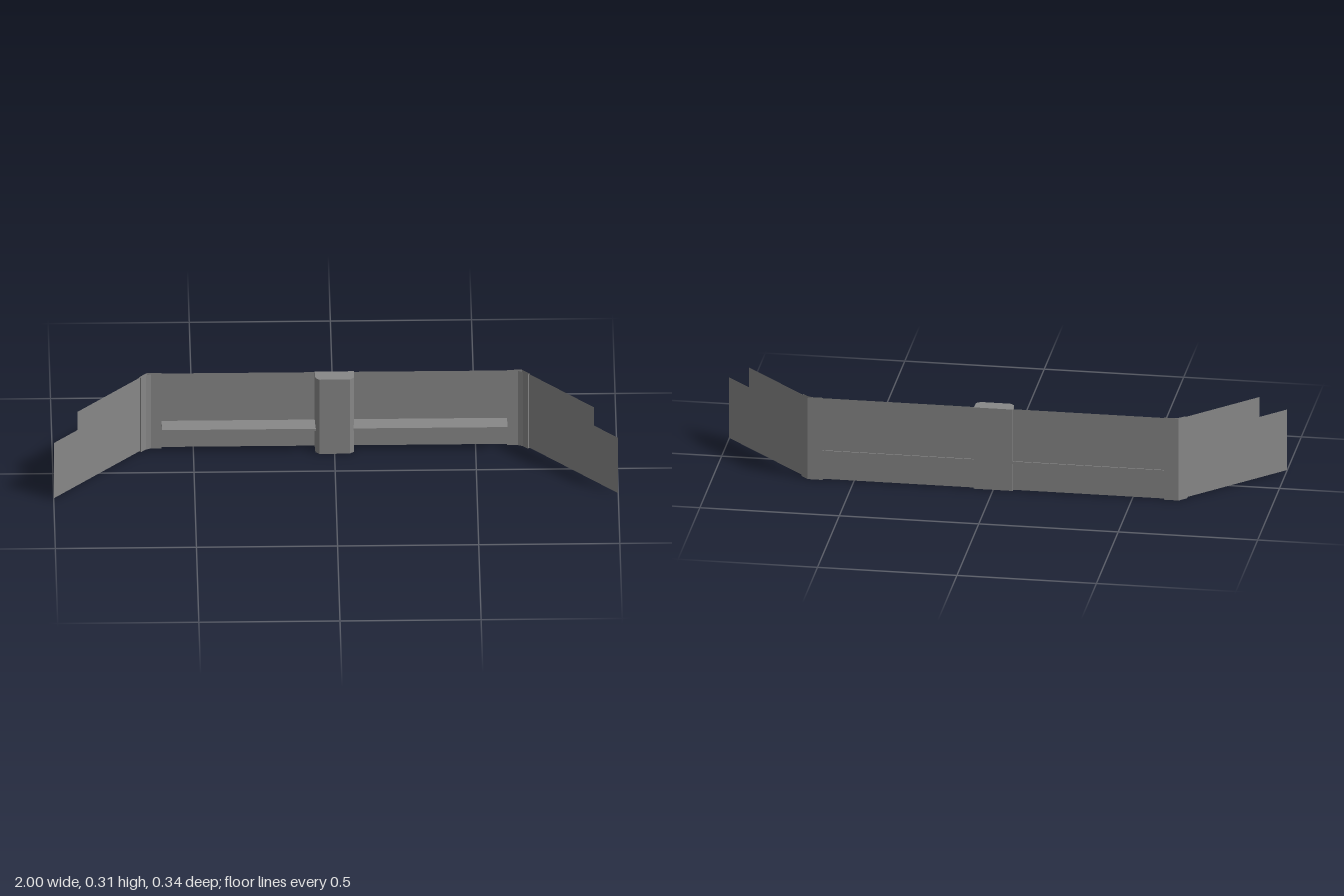
import * as THREE from 'three';

const TOP = 0.31;
const grey = new THREE.MeshStandardMaterial({ color: 0x888888, side: THREE.DoubleSide });
grey.name = 'grey panel';

function mesh(name, geometry) {
  const m = new THREE.Mesh(geometry, grey);
  m.name = name;
  return m;
}

function shapeOf(points) {
  return new THREE.Shape(points.map(([x, y]) => new THREE.Vector2(x, y)));
}

// Open-ended upright sheet following a closed plan outline of [x, z] points
function uprightSheet(plan, y0, y1) {
  const pos = [];
  plan.forEach(([ax, az], i) => {
    const [bx, bz] = plan[(i + 1) % plan.length];
    pos.push(ax, y0, az, bx, y0, bz, bx, y1, bz);
    pos.push(ax, y0, az, bx, y1, bz, ax, y1, az);
  });
  const g = new THREE.BufferGeometry();
  g.setAttribute('position', new THREE.Float32BufferAttribute(pos, 3));
  g.computeVertexNormals();
  return g;
}

// Everything on one side of the centre post
function buildSide(name) {
  const side = new THREE.Group();
  side.name = name;

  // Angled end wing with a step in its top edge
  const wing = mesh('wingPanel', new THREE.ShapeGeometry(shapeOf([
    [0, 0.003], [0.475, 0.003], [0.475, 0.234], [0.355, 0.234], [0.355, TOP], [0, TOP],
  ])));
  wing.position.set(0.664, 0, -0.166);
  wing.rotation.y = -Math.PI / 4;
  side.add(wing);

  // Bent cover over the joint between wall and wing
  side.add(mesh('cornerCover', uprightSheet([
    [0.612, -0.17], [0.665, -0.17], [0.692, -0.143], [0.685, -0.138],
    [0.668, -0.154], [0.65, -0.162], [0.612, -0.162],
  ], 0, TOP)));

  // Shelf and its brackets
  const shelf = mesh('shelf', new THREE.BoxGeometry(0.545, 0.009, 0.066));
  shelf.position.set(0.3395, 0.1075, -0.137);
  side.add(shelf);
  for (const x of [0.238, 0.468]) {
    const bracket = mesh('shelfBracket', new THREE.ExtrudeGeometry(
      shapeOf([[0.169, 0.075], [0.169, 0.104], [0.115, 0.104], [0.115, 0.097]]),
      { depth: 0.009, bevelEnabled: false }));
    bracket.rotation.y = Math.PI / 2;
    bracket.position.x = x - 0.0045;
    side.add(bracket);
  }
  return side;
}

export function createModel() {
  const model = new THREE.Group();
  model.name = 'wingedWall';

  // Long back wall
  const wall = mesh('backWall', new THREE.PlaneGeometry(1.328, TOP - 0.003));
  wall.position.set(0, (TOP + 0.003) / 2, -0.166);
  model.add(wall);

  // Centre post with chamfered front corners
  const post = mesh('centrePost', new THREE.ExtrudeGeometry(shapeOf([
    [-0.07, 0.17], [0.07, 0.17], [0.068, 0.127], [0.054, 0.115],
    [-0.054, 0.115], [-0.068, 0.127],
  ]), { depth: TOP, bevelEnabled: false }));
  post.rotation.x = -Math.PI / 2;
  model.add(post);

  const left = buildSide('leftSide');
  const right = buildSide('rightSide');
  right.scale.x = -1;
  model.add(left, right);
  return model;
}
